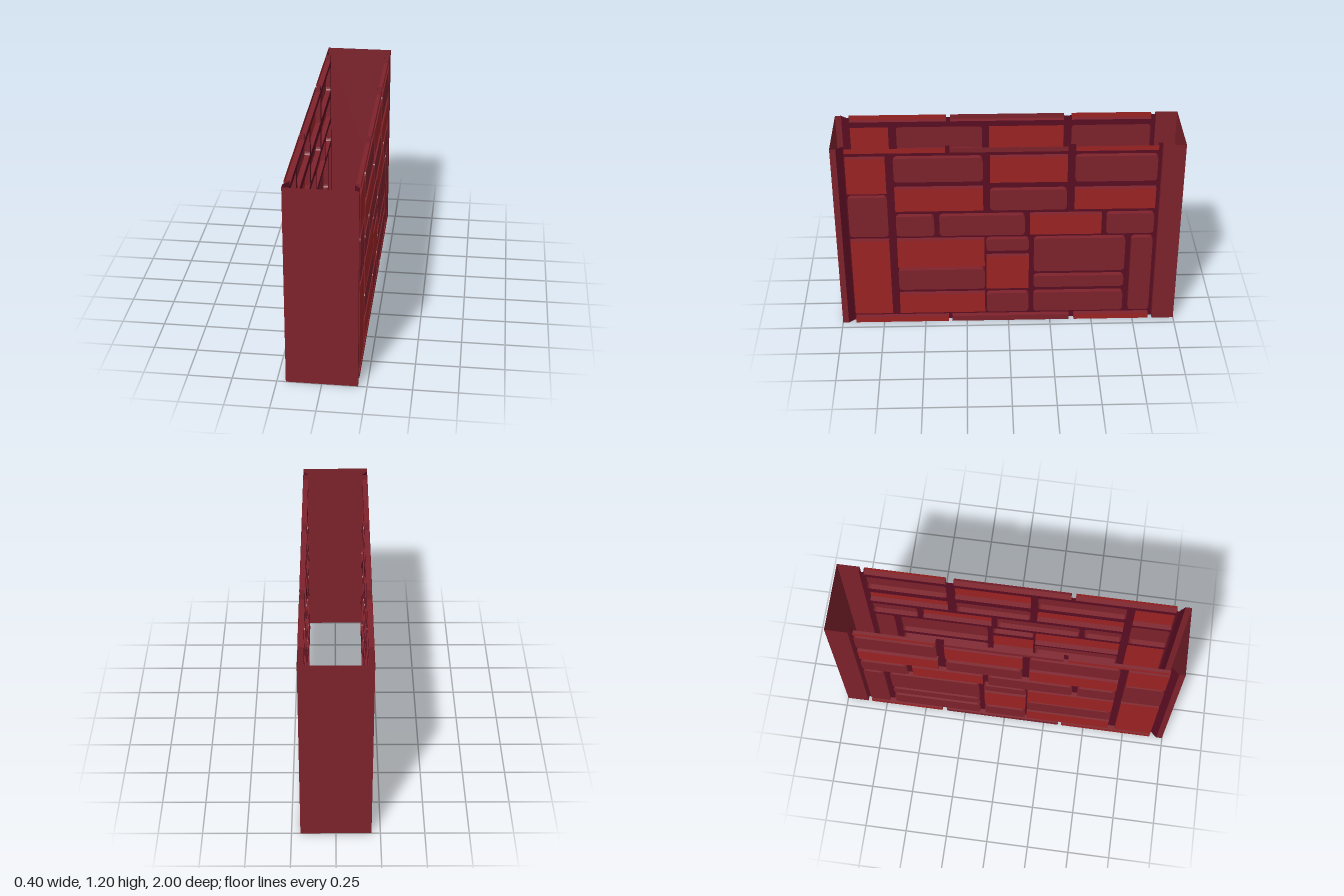
import * as THREE from 'three';

const H = 1.2, OUT = 0.2, IN = 0.17;      // wall height, brick face and mortar distance from the centre
const BACK = -0.87, FRONT = 0.93;         // ends of the recessed mortar

const mat = (name, color) => {
  const m = new THREE.MeshStandardMaterial({ color, side: THREE.DoubleSide });
  m.name = name;
  return m;
};

// Bricks: front z, back z, bottom y, top y, red or maroon
const BRICKS = [
  [0.92, 0.695, 0.905, 1.135, 'r'], [0.92, 0.695, 0.615, 0.88, 'm'], [0.92, 0.695, 0.065, 0.585, 'r'],
  [0.65, 0.145, 0.98, 1.135, 'm'], [0.105, -0.335, 0.97, 1.135, 'r'], [-0.38, -0.845, 0.97, 1.135, 'm'],
  [0.65, 0.145, 0.785, 0.935, 'r'], [0.105, -0.335, 0.785, 0.92, 'm'], [-0.38, -0.845, 0.785, 0.92, 'r'],
  [0.65, 0.43, 0.615, 0.75, 'm'], [0.4, -0.095, 0.615, 0.75, 'm'],
  [-0.125, -0.54, 0.615, 0.75, 'r'], [-0.57, -0.845, 0.615, 0.75, 'm'],
  [0.65, 0.14, 0.395, 0.585, 'r'], [0.65, 0.14, 0.235, 0.375, 'm'], [0.65, 0.14, 0.065, 0.2, 'r'],
  [0.13, -0.12, 0.505, 0.585, 'm'], [0.13, -0.12, 0.235, 0.465, 'r'], [0.13, -0.12, 0.065, 0.2, 'm'],
  [-0.15, -0.685, 0.355, 0.585, 'm'], [-0.15, -0.685, 0.24, 0.32, 'm'], [-0.15, -0.685, 0.065, 0.2, 'm'],
  [-0.72, -0.845, 0.065, 0.585, 'm'],
];
// Bricks cut by the top and bottom edges
const TOP_CUT = [[0.92, 0.355, 1.17, H, 'r'], [0.33, -0.335, 1.17, H, 'm'], [-0.38, -0.845, 1.17, H, 'r']];
const BOTTOM_CUT = [[0.92, 0.36, 0, 0.035, 'r'], [0.34, -0.365, 0, 0.035, 'm'], [-0.395, -0.845, 0, 0.035, 'r']];

// Outline in the wall plane (u = -z, v = y), corners rounded by r
function outline([z1, z2, y1, y2], r) {
  const a = -z1, b = -z2;
  if (!r) return [[a, y1], [b, y1], [b, y2], [a, y2]].map(p => new THREE.Vector2(...p));
  const pts = [];
  [[b - r, y1 + r], [b - r, y2 - r], [a + r, y2 - r], [a + r, y1 + r]].forEach(([u, v], i) => {
    for (let k = 0; k <= 3; k++) {
      const t = (i - 1 + k / 3) * Math.PI / 2;
      pts.push(new THREE.Vector2(u + r * Math.cos(t), v + r * Math.sin(t)));
    }
  });
  return pts;
}

// Flat plate facing +x at the given x
const plate = (shape, x) => new THREE.ShapeGeometry(shape).rotateY(Math.PI / 2).translate(x, 0, 0);

// Quads given as four corners each
function quads(list) {
  const pos = [];
  for (const [a, b, c, d] of list) pos.push(...a, ...b, ...c, ...a, ...c, ...d);
  const g = new THREE.BufferGeometry();
  g.setAttribute('position', new THREE.Float32BufferAttribute(pos, 3));
  g.computeVertexNormals();
  return g;
}

// Brick edges from mortar to face, left open where the wall is cut
function rim(pts) {
  const list = [];
  pts.forEach((p, i) => {
    const q = pts[(i + 1) % pts.length];
    if (p.y === q.y && (p.y === 0 || p.y === H)) return;
    list.push([[IN, p.y, -p.x], [IN, q.y, -q.x], [OUT, q.y, -q.x], [OUT, p.y, -p.x]]);
  });
  return quads(list);
}

export function createModel() {
  const maroon = mat('maroon', 0x7e222c);
  const red = mat('brick red', 0x9c2323);
  const mortarMat = mat('dark mortar', 0x5a0d22);

  const model = new THREE.Group();
  model.name = 'brickWallSegment';
  const add = (parent, name, geo, material) => {
    const m = new THREE.Mesh(geo, material);
    m.name = name;
    parent.add(m);
    return m;
  };

  function buildSide(name) {
    const side = new THREE.Group();
    side.name = name;

    // Mortar sheet, notched by the cut bricks and pierced by the whole ones
    const edge = [[-FRONT, 0]];
    for (const [z1, z2, , y] of BOTTOM_CUT) edge.push([-z1, 0], [-z1, y], [-z2, y], [-z2, 0]);
    edge.push([-BACK, 0], [-BACK, H]);
    for (const [z1, z2, y] of [...TOP_CUT].reverse()) edge.push([-z2, H], [-z2, y], [-z1, y], [-z1, H]);
    edge.push([-FRONT, H]);
    const sheet = new THREE.Shape(edge.map(p => new THREE.Vector2(...p)));

    // Hollow bricks
    const addBrick = (b, whole) => {
      const pts = outline(b, whole && b[4] === 'm' ? 0.02 : 0);
      if (whole) sheet.holes.push(new THREE.Path(pts));
      const brick = new THREE.Group();
      brick.name = whole ? 'brick' : 'cutBrick';
      add(brick, 'brickFace', plate(new THREE.Shape(pts), OUT), b[4] === 'r' ? red : maroon);
      add(brick, 'brickEdges', rim(pts), maroon);
      side.add(brick);
    };
    BRICKS.forEach(b => addBrick(b, true));
    [...TOP_CUT, ...BOTTOM_CUT].forEach(b => addBrick(b, false));
    add(side, 'mortar', plate(sheet, IN), mortarMat);

    // Sloped mortar joint towards the front end
    add(side, 'frontJoint', quads([
      [[IN, 0, FRONT], [IN, H, FRONT], [OUT, H, 0.965], [OUT, 0, 0.965]].reverse(),
    ]), mortarMat);
    const wedge = new THREE.BufferGeometry();
    wedge.setAttribute('position', new THREE.Float32BufferAttribute(
      [IN, 0, FRONT, IN, 0, 0.965, OUT, 0, 0.965], 3));
    wedge.computeVertexNormals();
    add(side, 'jointFoot', wedge, mortarMat);

    // Flat returns of the end plates
    add(side, 'frontReturn', quads([
      [[OUT, 0, 1], [OUT, 0, 0.965], [OUT, H, 0.965], [OUT, H, 1]],
    ]), maroon);
    add(side, 'backReturn', quads([
      [[OUT, 0, BACK], [OUT, 0, -1], [OUT, H, -1], [OUT, H, BACK]],
      [[IN, 0, BACK], [OUT, 0, BACK], [OUT, H, BACK], [IN, H, BACK]],
    ]), maroon);
    return side;
  }

  const left = buildSide('leftWall');
  const right = buildSide('rightWall');
  right.scale.x = -1;
  model.add(left, right);

  // End plates
  add(model, 'frontPlate', new THREE.PlaneGeometry(2 * OUT, H).translate(0, H / 2, 1), maroon);
  add(model, 'backPlate', new THREE.PlaneGeometry(2 * OUT, H).rotateY(Math.PI).translate(0, H / 2, -1), maroon);
  return model;
}
